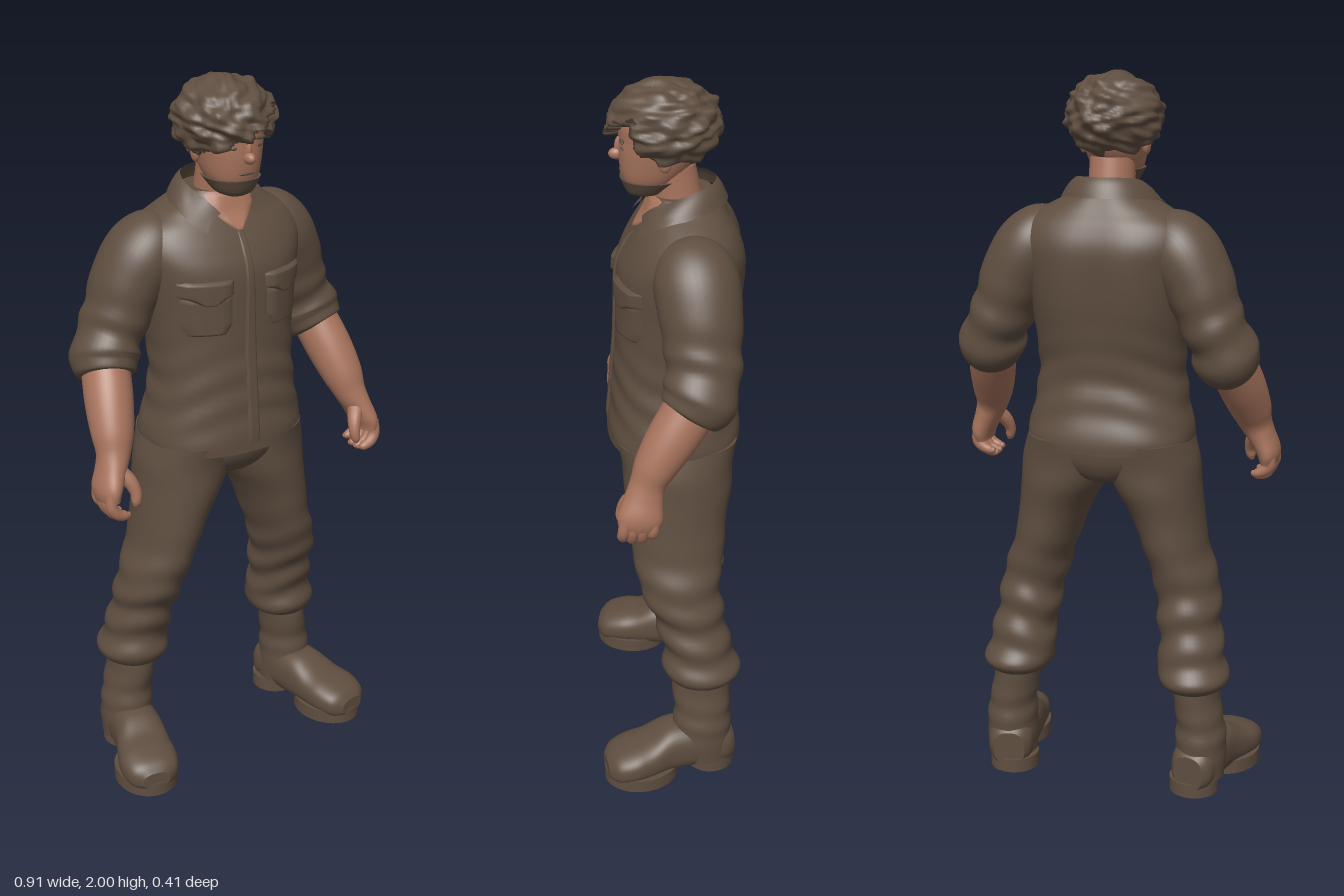
import * as THREE from 'three';

const cloth = new THREE.MeshStandardMaterial({ color: 0x5f4e40, side: THREE.DoubleSide });
cloth.name = 'brown cloth';
const skin = new THREE.MeshStandardMaterial({ color: 0xa8745d, side: THREE.DoubleSide });
skin.name = 'skin';

const V = (x, y, z) => new THREE.Vector3(x, y, z);
const UP = V(0, 1, 0), DOWN = V(0, -1, 0), Z = V(0, 0, 1);

// Smoothly fills in rings [x, y, z, halfWidth, halfDepth] between the given ones
function refine(rings, steps = 6) {
  const out = [], last = rings.length - 1, at = i => rings[Math.min(last, Math.max(0, i))];
  for (let i = 0; i < last; i++) for (let s = 0; s < steps; s++) {
    const t = s / steps;
    out.push(rings[i].map((p1, k) => {
      const p0 = at(i - 1)[k], p2 = at(i + 1)[k], p3 = at(i + 2)[k];
      return p1 + 0.5 * t * (p2 - p0 + t * (2 * p0 - 5 * p1 + 4 * p2 - p3 + t * (3 * (p1 - p2) + p3 - p0)));
    }));
  }
  out.push(rings[last]);
  return out;
}

// Closed skin over superellipse rings; dir fixes the section normal, fold adds wrinkles
function loft(rings, { dir = null, ref = Z, n = 2, sides = 40, fold = () => 0, steps = 6 } = {}) {
  const rs = refine(rings, steps), pos = [], idx = [];
  const c = rs.map(r => V(r[0], r[1], r[2]));
  const pw = v => Math.sign(v) * Math.abs(v) ** (2 / n);
  rs.forEach((r, i) => {
    const t = dir ? dir.clone() : c[Math.min(i + 1, c.length - 1)].clone().sub(c[Math.max(i - 1, 0)]);
    t.normalize();
    const u = t.clone().cross(ref).normalize(), v = t.clone().cross(u);
    for (let j = 0; j < sides; j++) {
      const a = j / sides * Math.PI * 2, f = fold(a, r[1]);
      const p = c[i].clone().addScaledVector(u, pw(Math.cos(a)) * (r[3] + f)).addScaledVector(v, pw(Math.sin(a)) * (r[4] + f));
      pos.push(p.x, p.y, p.z);
      if (i < rs.length - 1) {
        const k = i * sides + j, m = i * sides + (j + 1) % sides;
        idx.push(k, m, k + sides, m, m + sides, k + sides);
      }
    }
  });
  // End caps with their own vertices
  for (const i of [0, rs.length - 1]) {
    const base = pos.length / 3;
    pos.push(...pos.slice(i * sides * 3, (i + 1) * sides * 3), c[i].x, c[i].y, c[i].z);
    for (let j = 0; j < sides; j++) {
      const a = base + j, b = base + (j + 1) % sides, m = base + sides;
      if (i) idx.push(a, b, m); else idx.push(b, a, m);
    }
  }
  return build(pos, idx);
}

function build(pos, idx) {
  const g = new THREE.BufferGeometry();
  g.setAttribute('position', new THREE.Float32BufferAttribute(pos, 3));
  g.setIndex(idx);
  g.computeVertexNormals();
  return g;
}

// Surface from a grid of points fn(u, v)
function sheet(nu, nv, fn) {
  const pos = [], idx = [];
  for (let i = 0; i <= nu; i++) for (let j = 0; j <= nv; j++) {
    pos.push(...fn(i / nu, j / nv));
    if (i < nu && j < nv) {
      const a = i * (nv + 1) + j, b = a + nv + 1;
      idx.push(a, b, a + 1, b, b + 1, a + 1);
    }
  }
  return build(pos, idx);
}

const torso = [
  [0, 0.995, -0.012, 0.23, 0.185], [0, 1.03, -0.012, 0.234, 0.184], [0, 1.1, -0.006, 0.218, 0.17],
  [0, 1.2, -0.002, 0.204, 0.158], [0, 1.3, -0.014, 0.208, 0.162], [0, 1.4, -0.025, 0.22, 0.17],
  [0, 1.5, -0.032, 0.236, 0.172], [0, 1.56, -0.042, 0.248, 0.158], [0, 1.61, -0.047, 0.23, 0.133],
  [0, 1.645, -0.047, 0.178, 0.11], [0, 1.675, -0.043, 0.122, 0.094], [0, 1.7, -0.038, 0.085, 0.08]];
const torsoFine = refine(torso);

// Front depth of the shirt at x, y
function frontZ(x, y) {
  let i = 1;
  while (i < torsoFine.length - 1 && torsoFine[i][1] < y) i++;
  const a = torsoFine[i - 1], b = torsoFine[i], t = Math.min(1, (y - a[1]) / (b[1] - a[1]));
  const [, , cz, rx, rz] = a.map((v, k) => v + (b[k] - v) * t);
  return cz + rz * Math.max(0, 1 - Math.abs(x / rx) ** 2.3) ** (1 / 2.3);
}

// Thin plate lying on the shirt front, rows of [y, left, right] from top to bottom
const plate = (rows, lift) => sheet(16, 8, (u, v) => {
  const f = u * (rows.length - 1), i = Math.min(rows.length - 2, Math.floor(f));
  const [y, l, r] = rows[i].map((p, k) => p + (rows[i + 1][k] - p) * (f - i));
  const x = l + (r - l) * v;
  const edge = u === 0 || u === 1 || v === 0 || v === 1;
  return [x, y, frontZ(x, y) + (edge ? 0 : lift)];
});

const bump = (y, mid, w) => Math.exp(-(((y - mid) / w) ** 2));

export function createModel() {
  const model = new THREE.Group();
  const add = (name, geo, mat = cloth) => {
    const m = new THREE.Mesh(geo, mat);
    m.name = name;
    model.add(m);
    return m;
  };
  const ball = (name, p, r, mat) => {
    const m = add(name, new THREE.SphereGeometry(1, 20, 14), mat);
    m.position.set(...p);
    m.scale.set(...r);
    return m;
  };

  // Shirt with a spine groove and soft waist folds
  add('shirt', loft(torso, {
    dir: UP, n: 2.3, sides: 64,
    fold: (a, y) => (Math.sin(a) > 0 ? -0.014 * Math.exp(-(Math.cos(a) ** 2) / 0.04) * bump(y, 1.42, 0.2) : 0)
      + 0.003 * Math.sin(y * 70 + 3 * Math.cos(a * 2)) * bump(y, 1.17, 0.12)
  }));
  add('placket', plate([[1.6, -0.008, 0.012], [1.3, -0.018, 0.018], [1.02, -0.018, 0.018]], 0.006));
  add('openNeck', plate([[1.7, -0.07, 0.07], [1.66, -0.066, 0.066], [1.63, -0.04, 0.04], [1.6, -0.006, 0.006]], 0.007), skin);
  for (const s of [-1, 1]) {
    const span = (y, a, b) => (s > 0 ? [y, a, b] : [y, -b, -a]);
    add('pocket', plate([span(1.45, 0.055, 0.185), span(1.37, 0.055, 0.185), span(1.34, 0.075, 0.165)], 0.008));
    add('pocketFlap', plate([span(1.49, 0.05, 0.19), span(1.45, 0.05, 0.19), span(1.425, 0.11, 0.13)], 0.014));
  }

  // Folded collar: stands at the nape, drops to two points in front
  add('collar', sheet(48, 6, (u, v) => {
    const phi = (u * 2 - 1) * 2.62, w = Math.abs(u * 2 - 1);
    const r = 0.092 + (0.036 + 0.075 * w ** 4) * v;
    const x = r * Math.sin(phi);
    const y = 1.735 - 0.085 * w ** 3 - v * (0.052 - 0.01 * w ** 3) + 0.008 * Math.sin(v * Math.PI);
    let z = -0.03 - (0.092 + 0.032 * v) * Math.cos(phi);
    if (w > 0.6) z = Math.max(z, frontZ(x, Math.min(y, 1.7)) + 0.014);
    return [x, y, z];
  }));

  // Neck and head
  add('neck', loft([[0, 1.58, -0.035, 0.075, 0.075], [0, 1.68, -0.02, 0.064, 0.068], [0, 1.78, 0, 0.062, 0.068]], { dir: UP }), skin);
  const skull = [
    [0, 1.703, 0.068, 0.025, 0.025], [0, 1.715, 0.06, 0.048, 0.048], [0, 1.75, 0.045, 0.07, 0.078],
    [0, 1.8, 0.03, 0.083, 0.1], [0, 1.85, 0.025, 0.09, 0.104], [0, 1.9, 0.02, 0.092, 0.106],
    [0, 1.95, 0.01, 0.075, 0.085], [0, 1.975, 0.01, 0.04, 0.05]];
  add('head', loft(skull, { dir: UP, n: 2.2 }), skin);
  add('beard', loft(skull.slice(0, 3).map(([x, y, z, a, b]) => [x, y - 0.006, z, a + 0.005, b + 0.005]), { dir: UP, n: 2.2 }));
  ball('nose', [0, 1.805, 0.134], [0.014, 0.016, 0.022], skin);
  ball('noseBridge', [0, 1.825, 0.126], [0.009, 0.028, 0.014], skin);
  ball('mouth', [0, 1.762, 0.123], [0.024, 0.004, 0.005], cloth);
  for (const s of [-1, 1]) {
    ball('eye', [s * 0.034, 1.832, 0.12], [0.014, 0.005, 0.005], cloth);
    ball('eyebrow', [s * 0.036, 1.852, 0.121], [0.022, 0.006, 0.006], cloth);
    ball('ear', [s * 0.088, 1.81, 0.015], [0.012, 0.028, 0.018], skin);
  }

  // Curly hair, tucked inside the head where the face is open
  const hair = new THREE.SphereGeometry(1, 96, 64), hp = hair.attributes.position;
  for (let i = 0; i < hp.count; i++) {
    const d = V(hp.getX(i), hp.getY(i), hp.getZ(i));
    const curl = Math.sin(9 * d.x + 4 * Math.sin(5 * d.y)) * Math.sin(8 * d.y + 3 * d.z) + Math.sin(10 * d.z + 5 * d.x + 1)
      * Math.sin(9 * d.y - 4 * d.x);
    let k = 0.97 + 0.05 * curl + 0.03 * Math.abs(Math.sin(14 * d.x + 6 * d.z) * Math.sin(13 * d.y + 5 * d.z));
    const x = d.x * 0.133, y = 1.885 + d.y * 0.114, z = 0.012 + d.z * 0.15;
    const fringe = 1.862 + 0.6 * x + 0.007 * Math.sin(x * 130);
    const face = z > 0.04 && y < fringe && x > -0.092 && x < 0.1;
    const jaw = z > -0.03 && y < 1.805;
    if (face || jaw) k = 0.55;
    hp.setXYZ(i, d.x * 0.133 * k, 1.885 + d.y * 0.114 * k, 0.012 + d.z * 0.15 * k);
  }
  hair.computeVertexNormals();
  add('hair', hair);

  // Seat of the trousers
  add('trouserSeat', loft([[0, 1.03, -0.012, 0.21, 0.165], [0, 0.96, -0.015, 0.215, 0.152], [0, 0.91, -0.02, 0.13, 0.12], [0, 0.89, -0.02, 0.05, 0.08]], { dir: V(0, -1, 0) }));

  for (const s of [-1, 1]) {
    const side = s > 0 ? 'left' : 'right';
    const m = rings => rings.map(([x, ...r]) => [s * x, ...r]);

    // Trouser leg, creased from the knee down
    add(side + 'TrouserLeg', loft(m([
      [0.12, 1.02, -0.015, 0.112, 0.165], [0.122, 0.95, -0.016, 0.13, 0.153], [0.136, 0.88, -0.017, 0.122, 0.15],
      [0.163, 0.8, -0.013, 0.103, 0.138], [0.19, 0.7, -0.015, 0.091, 0.129], [0.222, 0.6, -0.018, 0.092, 0.112],
      [0.238, 0.5, -0.045, 0.088, 0.1], [0.252, 0.4, -0.068, 0.092, 0.098], [0.258, 0.345, -0.078, 0.101, 0.111],
      [0.261, 0.315, -0.078, 0.088, 0.098], [0.262, 0.305, -0.078, 0.07, 0.08]]), {
      dir: DOWN, steps: 9, fold: (a, y) => 0.006 * Math.sin(y * 62 + 1.6 * Math.sin(a + s) + Math.cos(2 * a)) * bump(y, 0.48, 0.17)
    }));

    // Boot: shaft, foot, sole and heel
    add(side + 'BootShaft', loft(m([
      [0.268, 0.34, -0.078, 0.068, 0.08], [0.27, 0.28, -0.076, 0.065, 0.083], [0.282, 0.2, -0.08, 0.068, 0.08],
      [0.285, 0.12, -0.078, 0.073, 0.086], [0.283, 0.04, -0.085, 0.07, 0.08]]), {
      dir: DOWN, fold: (a, y) => 0.003 * Math.sin(y * 85 + Math.sin(a)) * bump(y, 0.18, 0.06)
    }));
    add(side + 'BootFoot', loft(m([
      [0.268, 0.07, -0.166, 0.045, 0.05], [0.274, 0.078, -0.135, 0.064, 0.065], [0.287, 0.086, -0.05, 0.07, 0.074],
      [0.3, 0.084, 0.02, 0.073, 0.074], [0.318, 0.07, 0.08, 0.081, 0.058], [0.332, 0.064, 0.13, 0.085, 0.052],
      [0.342, 0.056, 0.178, 0.072, 0.043], [0.347, 0.05, 0.202, 0.04, 0.025]]), { dir: V(s * 0.2, 0, 0.98), ref: UP, n: 2.5 }));
    for (const [name, x, z, a, b] of [['Sole', 0.325, 0.1, 0.09, 0.108], ['Heel', 0.272, -0.105, 0.07, 0.07]]) {
      const g = new THREE.CylinderGeometry(1, 1, 0.04, 36);
      g.scale(a, 1, b).rotateY(s * 0.2).translate(s * x, 0.02, z);
      add(side + name, g);
    }

    // Rolled sleeve
    add(side + 'Sleeve', loft(m([
      [0.13, 1.59, -0.05, 0.055, 0.07], [0.18, 1.57, -0.052, 0.086, 0.1], [0.215, 1.53, -0.058, 0.1, 0.112],
      [0.255, 1.46, -0.066, 0.097, 0.108], [0.29, 1.37, -0.07, 0.087, 0.1], [0.32, 1.305, -0.067, 0.086, 0.098],
      [0.333, 1.265, -0.057, 0.091, 0.1], [0.343, 1.232, -0.04, 0.083, 0.09], [0.346, 1.222, -0.034, 0.068, 0.075]]), {
      fold: (a, y) => 0.005 * Math.sin(y * 75 + 1.5 * Math.sin(a)) * bump(y, 1.32, 0.09)
    }));

    // Forearm running into the palm
    add(side + 'Forearm', loft(m([
      [0.335, 1.27, -0.055, 0.064, 0.07], [0.36, 1.175, 0.008, 0.065, 0.068], [0.378, 1.1, 0.055, 0.058, 0.058],
      [0.39, 1.05, 0.078, 0.046, 0.048], [0.406, 1.01, 0.09, 0.038, 0.052], [0.424, 0.965, 0.1, 0.033, 0.06],
      [0.425, 0.935, 0.104, 0.026, 0.054]])), skin);

    // Curled fingers and thumb
    [0.064, 0.09, 0.116, 0.14].forEach((z, i) => {
      const r = 0.016, drop = [0.012, 0, 0, 0.006][i];
      add(side + 'Finger', loft(m([
        [0.432, 0.965, z, r, r], [0.435, 0.93, z + 0.004, r, r], [0.42, 0.9 + drop, z + 0.006, r, r],
        [0.396, 0.89 + drop, z + 0.006, 0.013, 0.013], [0.382, 0.892 + drop, z + 0.006, 0.006, 0.006]]), { sides: 14 }), skin);
    });
    add(side + 'Thumb', loft(m([
      [0.395, 1.015, 0.105, 0.022, 0.024], [0.372, 0.985, 0.13, 0.02, 0.021], [0.362, 0.955, 0.145, 0.016, 0.016],
      [0.364, 0.93, 0.15, 0.013, 0.013], [0.368, 0.918, 0.15, 0.006, 0.006]]), { sides: 14 }), skin);
  }
  return model;
}
